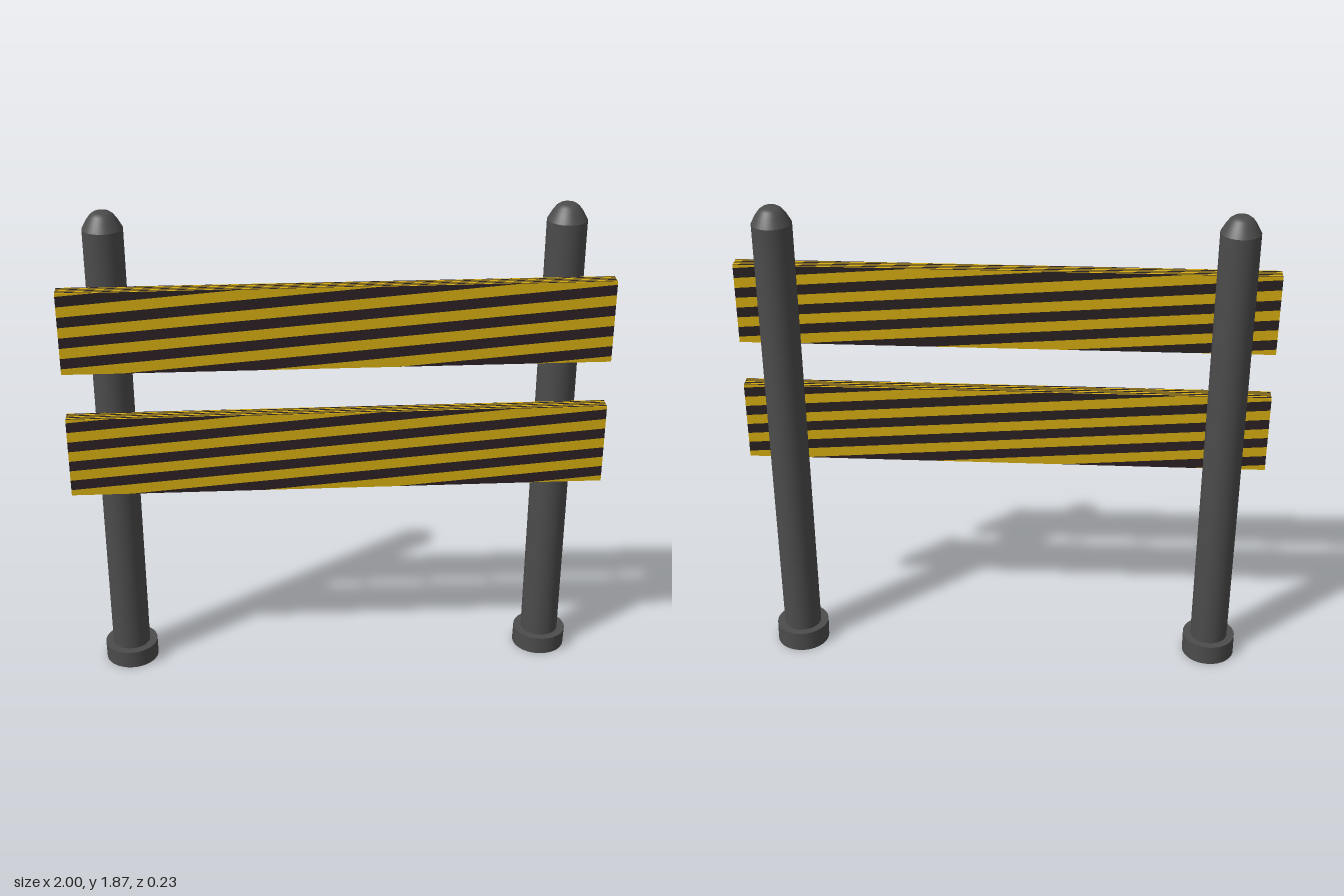
import * as THREE from 'three';

const flat = (name, color) => {
  const m = new THREE.MeshStandardMaterial({ color });
  m.name = name;
  return m;
};

// One slanted band v = c0..c1 (+ slope * u), clipped to the unit square
function bandShape(c0, c1, slope) {
  const start = Math.max(0, -c1 / slope);
  const end = Math.min(1, (1 - c0) / slope);
  if (end - start < 1e-4) return null;
  const edge = (c) => {
    const us = [start, -c / slope, (1 - c) / slope, end]
      .filter((u) => u >= start && u <= end)
      .sort((a, b) => a - b);
    return us
      .filter((u, i) => i === 0 || u - us[i - 1] > 1e-6)
      .map((u) => new THREE.Vector2(u, THREE.MathUtils.clamp(c + slope * u, 0, 1)));
  };
  const points = [...edge(c0), ...edge(c1).reverse()];
  return new THREE.Shape(points.filter((p, i) => i === 0 || p.distanceTo(points[i - 1]) > 1e-6));
}

// Alternating stripes that tile the unit square
function stripeGeometries() {
  const period = 0.254, slope = 2 * period, firstTop = 0.96;
  const black = [], yellow = [];
  for (let k = -1; k < 7; k++) {
    const top = firstTop - k * period;
    const dark = bandShape(top - period / 2, top, slope);
    const light = bandShape(top - period, top - period / 2, slope);
    if (dark) black.push(dark);
    if (light) yellow.push(light);
  }
  return [yellow, black].map((s) => new THREE.ShapeGeometry(s).translate(-0.5, -0.5, 0));
}

export function createModel() {
  const model = new THREE.Group();
  model.name = 'barrier';
  const grey = flat('dark grey', 0x4c4c4c);
  const paints = [flat('warning yellow', 0xd2aa10), flat('stripe black', 0x2a2022)];
  const stripes = stripeGeometries();

  // Posts: sheared foot, round shaft, rounded tip
  const footGeo = new THREE.CylinderGeometry(0.103, 0.103, 0.075, 32).translate(0, 0.0375, 0);
  const p = footGeo.attributes.position;
  for (let i = 0; i < p.count; i++) p.setZ(i, p.getZ(i) + (p.getY(i) / 0.075 - 0.5) * 0.008);
  const shaftGeo = new THREE.CylinderGeometry(0.073, 0.073, 1.735, 32, 1, true).translate(0, 0.9375, 0);
  const tipProfile = [[0.073, 1.805], [0.056, 1.836], [0.042, 1.855], [0.028, 1.865], [0, 1.867]];
  const tipGeo = new THREE.LatheGeometry(tipProfile.map(([r, y]) => new THREE.Vector2(r, y)), 32);
  for (const side of [-1, 1]) {
    const post = new THREE.Group();
    post.name = side > 0 ? 'leftPost' : 'rightPost';
    const parts = [['foot', footGeo, -0.011], ['shaft', shaftGeo, -0.008], ['tip', tipGeo, -0.008]];
    for (const [name, geo, z] of parts) {
      const mesh = new THREE.Mesh(geo, grey);
      mesh.name = name;
      mesh.position.z = z;
      post.add(mesh);
    }
    post.position.x = side * 0.828;
    model.add(post);
  }

  // Boards: six striped faces each
  const w = 2, h = 0.312, d = 0.056, q = Math.PI / 2;
  const faces = [
    ['front', w, h, [0, 0, d / 2], [0, 0, 0]],
    ['back', w, h, [0, 0, -d / 2], [0, Math.PI, 0]],
    ['leftEnd', d, h, [w / 2, 0, 0], [0, q, 0]],
    ['rightEnd', d, h, [-w / 2, 0, 0], [0, -q, 0]],
    ['topEdge', w, d, [0, h / 2, 0], [-q, 0, 0]],
    ['bottomEdge', w, d, [0, -h / 2, 0], [q, 0, 0]],
  ];
  for (const [boardName, y] of [['upperBoard', 1.455], ['lowerBoard', 0.962]]) {
    const board = new THREE.Group();
    board.name = boardName;
    for (const [name, fw, fh, position, rotation] of faces) {
      const face = new THREE.Group();
      face.name = name;
      stripes.forEach((geo, i) => {
        const mesh = new THREE.Mesh(geo, paints[i]);
        mesh.name = i ? 'blackStripes' : 'yellowStripes';
        mesh.scale.set(fw, fh, 1);
        face.add(mesh);
      });
      face.position.set(...position);
      face.rotation.set(...rotation);
      board.add(face);
    }
    board.position.set(0, y, 0.089);
    model.add(board);
  }
  return model;
}
